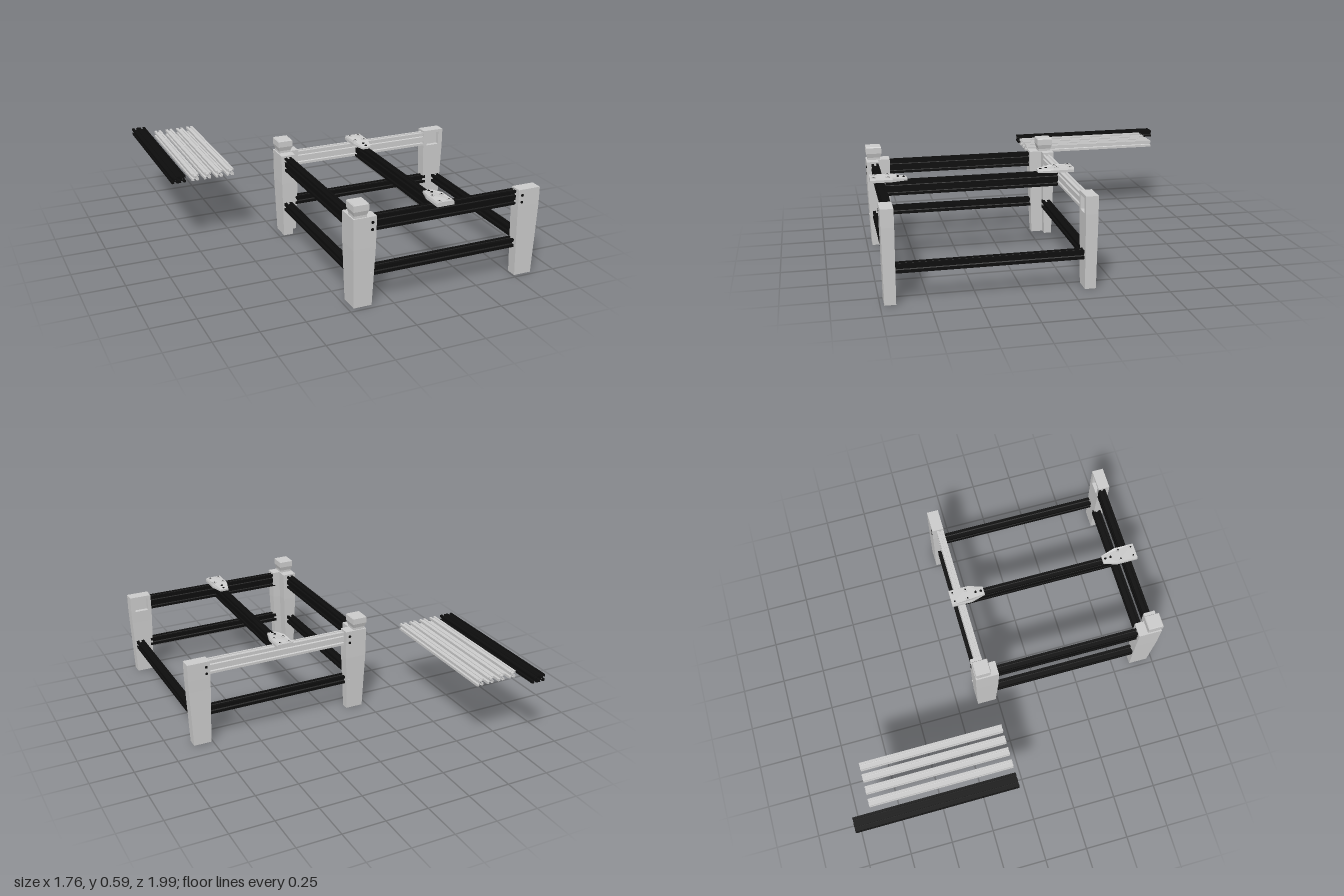
import * as THREE from 'three';
import { mergeGeometries } from 'three/addons/utils/BufferGeometryUtils.js';

const grey = new THREE.MeshStandardMaterial({ color: 0xcccccc });
const black = new THREE.MeshStandardMaterial({ color: 0x0d0d0d });
const ZC = 0.4225; // frame centre line in z

function add(parent, name, geometry, material, x = 0, y = 0, z = 0) {
  const mesh = new THREE.Mesh(geometry, material);
  mesh.name = name;
  mesh.position.set(x, y, z);
  parent.add(mesh);
  return mesh;
}

// T-slot bar along z: square cells with a slot in each side, stacked in y
function slotBar(size, cells, length) {
  const side = [[-0.5, 0.5], [-0.16, 0.5], [-0.16, 0.42], [-0.28, 0.42], [-0.28, 0.36], [-0.12, 0.2],
    [0.12, 0.2], [0.28, 0.36], [0.28, 0.42], [0.16, 0.42], [0.16, 0.5]];
  const parts = [];
  for (let c = 0; c < cells; c++) {
    const pts = [];
    for (let k = 0; k < 4; k++) {
      for (const [x, y] of side) {
        pts.push(new THREE.Vector2(x, y).rotateAround(new THREE.Vector2(), -k * Math.PI / 2).multiplyScalar(size));
      }
    }
    const shape = new THREE.Shape(pts);
    shape.holes.push(new THREE.Path().absarc(0, 0, size * 0.1, 0, Math.PI * 2, true));
    const g = new THREE.ExtrudeGeometry(shape, { depth: length, bevelEnabled: false, curveSegments: 6 });
    parts.push(g.translate(0, (c - (cells - 1) / 2) * size, -length / 2));
  }
  return mergeGeometries(parts);
}

// Solid from outlines [y, [[x, z], ...]] listed from the top down; both ends are capped
function loft(sections) {
  const area = THREE.ShapeUtils.area(sections[0][1].map(([x, z]) => new THREE.Vector2(x, z)));
  const loops = sections.map(([y, pts]) => {
    const l = pts.map(([x, z]) => new THREE.Vector3(x, y, z));
    return area < 0 ? l.reverse() : l;
  });
  const tris = [];
  const cap = (loop, flip) => {
    const flat = loop.map((p) => new THREE.Vector2(p.x, p.z));
    for (const [a, b, c] of THREE.ShapeUtils.triangulateShape(flat, [])) {
      tris.push(loop[a], loop[flip ? c : b], loop[flip ? b : c]);
    }
  };
  cap(loops[0], true);
  for (let k = 0; k + 1 < loops.length; k++) {
    const up = loops[k], low = loops[k + 1], n = up.length;
    for (let i = 0; i < n; i++) {
      const j = (i + 1) % n;
      tris.push(up[i], up[j], low[i], up[j], low[j], low[i]);
    }
  }
  cap(loops[loops.length - 1], false);
  const g = new THREE.BufferGeometry().setFromPoints(tris);
  g.computeVertexNormals();
  return g;
}

// Leg outlines measured from the outer corner, inset by d in x and e in z
const ell = (d, e) => [[d, e], [0.132 - d, e], [0.132 - d, 0.068 - e], [0.085 - d, 0.068 - e],
  [0.085 - d, 0.137 - e], [d, 0.137 - e]];
const rect = (w, t) => (d, e) => [[d, e], [w - d, e], [w - d, t - e], [d, t - e]];

function createLeg(name, left, s) {
  const leg = new THREE.Group();
  leg.name = name;
  const ox = left ? 0.877 : -0.235, sx = left ? -1 : 1, oz = ZC + s * 0.56;
  const place = (list) => loft(list.map(([y, pts]) => [y, pts.map(([x, z]) => [ox + sx * x, oz - s * z])]));
  const shape = left ? rect(0.132, 0.068) : ell;
  const e = left ? 0.004 : 0.012;
  const top = left ? 0.415 : 0.512;
  // tapered post with a hollow foot
  add(leg, 'post', place([[top, shape(0, 0)], [0.34, shape(0.002, 0.001)], [0, shape(0.014, e)],
    [0, shape(0.022, e + 0.008)], [0.06, shape(0.022, e + 0.008)]]), grey);
  if (left) {
    // head with a pocket open towards the inside of the frame
    const u = [[0, 0], [0.132, 0], [0.132, 0.068], [0.11, 0.068], [0.11, 0.042],
      [0.028, 0.042], [0.028, 0.068], [0, 0.068]];
    add(leg, 'pocketHead', place([[0.495, u], [0.415, u]]), grey);
    add(leg, 'topPlate', place([[0.512, shape(0, 0)], [0.495, shape(0, 0)]]), grey);
  } else {
    const block = rect(0.087, 0.09);
    add(leg, 'cornerCap', place([[0.59, block(0.004, 0.004)], [0.584, block(0, 0)], [0.55, block(0, 0)],
      [0.525, block(0.008, 0.008)], [0.505, block(0.008, 0.008)]]), grey);
  }
  // bolts on the outer face
  for (const [y, r] of [[0.44, 0.008], [0.48, 0.008], [0.19, 0.005]]) {
    const bolt = add(leg, 'bolt', new THREE.CylinderGeometry(r, r, 0.006, 12),
      r > 0.006 ? black : grey, left ? 0.767 : -0.127, y, oz - s * (r > 0.006 ? 0 : 0.004));
    bolt.rotation.x = Math.PI / 2;
  }
  return leg;
}

// Joining plate with a tapered, thinning tip that points to the middle of the frame
function createPlate(name, s) {
  const plate = new THREE.Group();
  plate.name = name;
  const outline = [[-0.05, 0], [0.05, 0], [0.05, 0.12], [0.026, 0.203], [-0.026, 0.203], [-0.05, 0.12]];
  const scaled = (k) => outline.map(([x, z]) => [x * k, z]);
  const g = loft([[0.025, scaled(0.92)], [0.014, outline], [0, outline]]);
  const p = g.attributes.position;
  for (let i = 0; i < p.count; i++) {
    if (p.getZ(i) > 0.15) p.setY(i, p.getY(i) * 0.5);
  }
  g.computeVertexNormals();
  add(plate, 'plateBody', g, grey);
  for (const z of [0.02, 0.098]) {
    for (const x of [-0.028, 0.028]) {
      add(plate, 'boss', new THREE.CylinderGeometry(0.012, 0.012, 0.006, 16), grey, x, 0.025, z);
      add(plate, 'bossHole', new THREE.CylinderGeometry(0.005, 0.005, 0.002, 12), black, x, 0.0275, z);
    }
  }
  for (const z of [0.153, 0.185]) {
    const y = 0.025 - 0.0125 * (z - 0.12) / 0.083;
    add(plate, 'tipBolt', new THREE.CylinderGeometry(0.007, 0.007, 0.006, 12), black, 0, y, z);
  }
  plate.position.set(0.29, 0.503, ZC + s * 0.57);
  if (s > 0) plate.rotation.y = Math.PI;
  return plate;
}

export function createModel() {
  const model = new THREE.Group();
  model.name = 'frame';

  // legs, plates and the cross rails at front and back
  const crossUpper = slotBar(0.041, 2, 0.885), crossLower = slotBar(0.048, 1, 0.885);
  for (const s of [1, -1]) {
    const end = s > 0 ? 'front' : 'back';
    model.add(createLeg(end + 'LeftLeg', true, s), createLeg(end + 'RightLeg', false, s));
    model.add(createPlate(end + 'Plate', s));
    const z = ZC + s * 0.513;
    add(model, end + 'UpperRail', crossUpper, s > 0 ? black : grey, 0.3225, 0.46, z).rotation.y = Math.PI / 2;
    add(model, end + 'LowerRail', crossLower, black, 0.3225, 0.19, z).rotation.y = Math.PI / 2;
  }

  // rails running front to back
  add(model, 'rightUpperRail', slotBar(0.041, 2, 0.9), black, -0.195, 0.46, ZC);
  add(model, 'rightLowerRail', slotBar(0.048, 1, 0.9), black, -0.195, 0.19, ZC);
  add(model, 'leftLowerRail', slotBar(0.048, 1, 0.985), black, 0.835, 0.19, ZC);
  add(model, 'centreRail', slotBar(0.041, 2, 0.97), black, 0.29, 0.46, ZC);

  // loose bars beside the frame
  add(model, 'looseWideBar', slotBar(0.041, 2, 0.935), black, -0.838, 0.438, -0.5325).rotation.z = Math.PI / 2;
  const loose = slotBar(0.041, 1, 0.83);
  for (const x of [-0.74, -0.667, -0.596, -0.529]) add(model, 'looseBar', loose, grey, x, 0.438, -0.48);

  return model;
}
